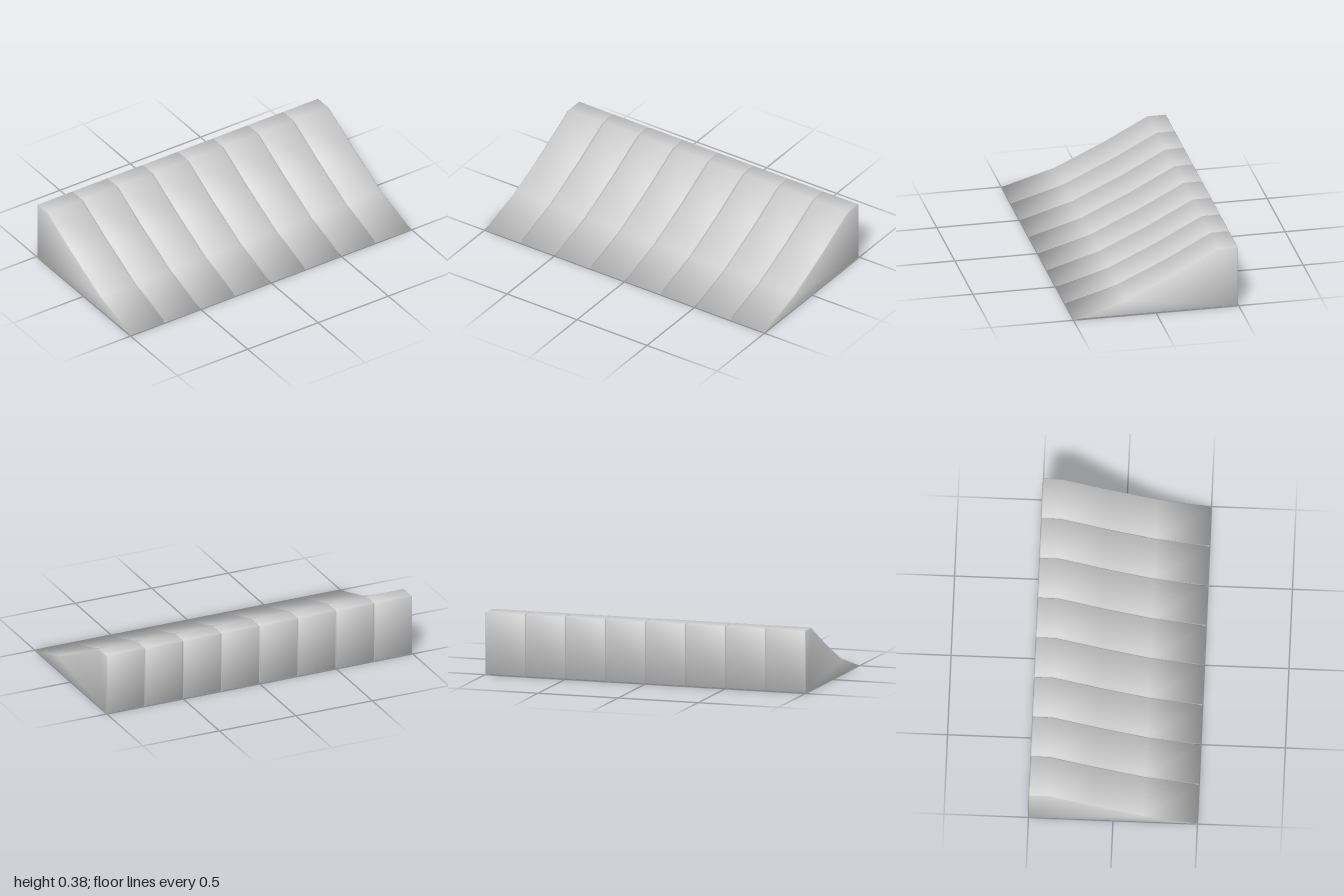
import * as THREE from 'three';

const COUNT = 8;
const WIDTH = 2 / COUNT;
const BEVEL = 0.006;

// Wedge outlines as [z, y], from the front tip over the slope, down the back and along the floor
const FULL = [[0.498, 0.003], [0.18, 0.097], [-0.12, 0.237], [-0.385, 0.377], [-0.491, 0.377],
  [-0.498, 0.37], [-0.498, 0.006], [-0.491, 0], [0.46, 0]];
// The same outline pulled in by the bevel, used for the flat sides
const SIDE = [[0.46, 0.0085], [0.178, 0.091], [-0.118, 0.231], [-0.383, 0.371], [-0.491, 0.371],
  [-0.492, 0.37], [-0.492, 0.007], [-0.491, 0.006], [0.455, 0.006]];

// Averaged outward direction of the outline at point i, as [z, y]
function outward(i) {
  const n = FULL.length;
  const edge = (a, b) => new THREE.Vector2(b[1] - a[1], a[0] - b[0]).normalize();
  const prev = FULL[(i + n - 1) % n], next = FULL[(i + 1) % n];
  return edge(prev, FULL[i]).add(edge(FULL[i], next)).normalize();
}

// One bevelled wedge lofted across x with softly blended normals
function wedgeGeometry() {
  const h = WIDTH / 2, n = FULL.length;
  const rings = [
    { x: -h, outline: SIDE, nx: -1, spread: 0.4 },
    { x: -h + BEVEL, outline: FULL, nx: -0.4, spread: 1 },
    { x: h - BEVEL, outline: FULL, nx: 0.4, spread: 1 },
    { x: h, outline: SIDE, nx: 1, spread: 0.4 },
  ];
  const positions = [], normals = [], index = [];
  for (const { x, outline, nx, spread } of rings) {
    outline.forEach(([z, y], i) => {
      const o = outward(i);
      const normal = new THREE.Vector3(nx, o.y * spread, o.x * spread).normalize();
      positions.push(x, y, z);
      normals.push(...normal.toArray());
    });
  }
  // Strips between neighbouring rings
  for (let k = 0; k < rings.length - 1; k++) {
    for (let i = 0; i < n; i++) {
      const j = (i + 1) % n;
      const a = k * n + i, c = k * n + j;
      index.push(a, a + n, c, a + n, c + n, c);
    }
  }
  // Flat sides, fanned from the lower back corner
  const hub = 7, last = 3 * n;
  for (let s = 1; s < n - 1; s++) {
    const a = (hub + s) % n, b = (hub + s + 1) % n;
    index.push(hub, a, b);
    index.push(last + hub, last + b, last + a);
  }
  const geometry = new THREE.BufferGeometry();
  geometry.setAttribute('position', new THREE.Float32BufferAttribute(positions, 3));
  geometry.setAttribute('normal', new THREE.Float32BufferAttribute(normals, 3));
  geometry.setIndex(index);
  return geometry;
}

export function createModel() {
  const model = new THREE.Group();
  model.name = 'ramp';
  const material = new THREE.MeshStandardMaterial({ color: 0xcccccc });
  const geometry = wedgeGeometry();
  // Row of identical wedge segments
  for (let i = 0; i < COUNT; i++) {
    const segment = new THREE.Mesh(geometry, material);
    segment.name = `rampSegment${i + 1}`;
    segment.position.x = -1 + WIDTH * (i + 0.5);
    model.add(segment);
  }
  return model;
}
